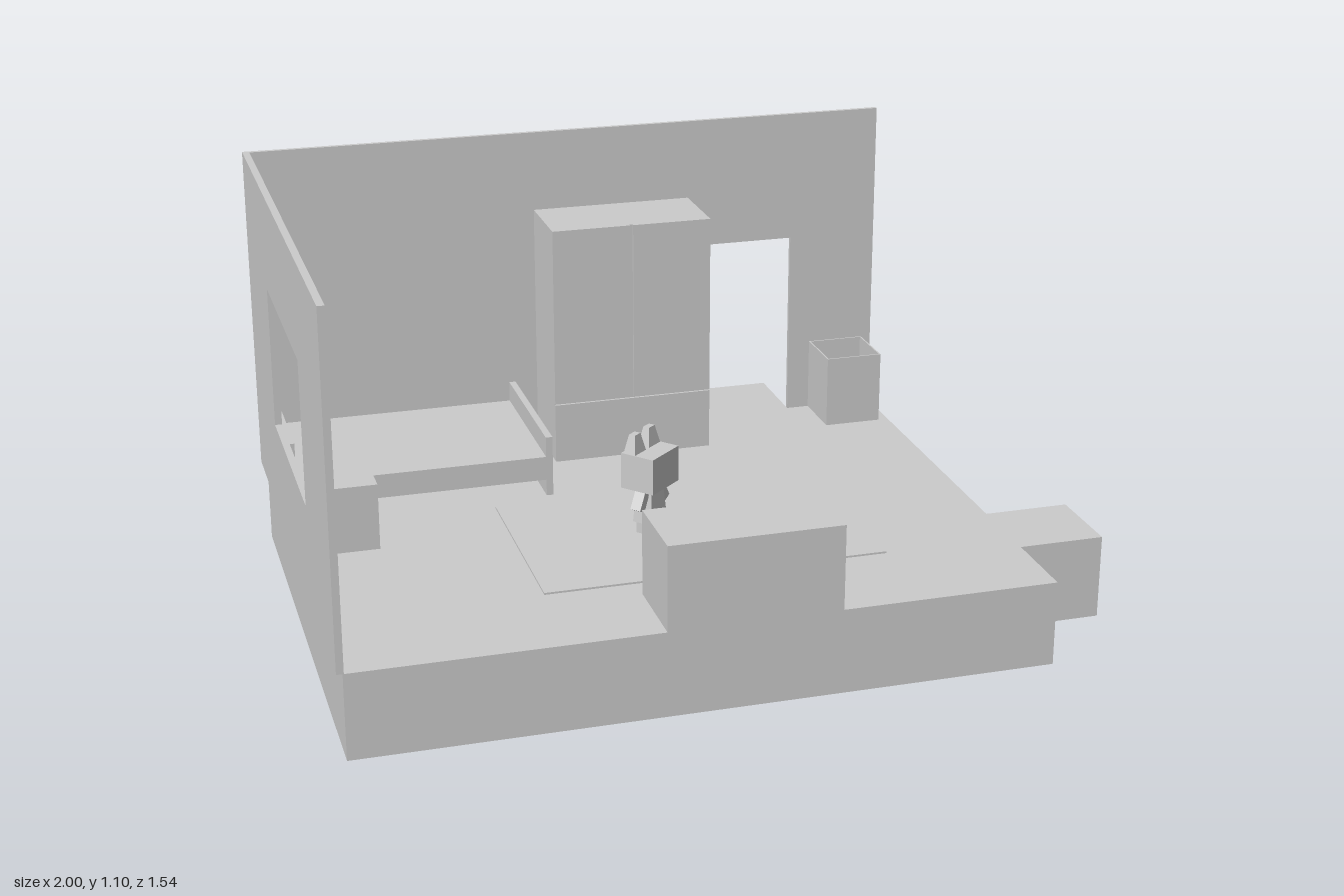
import * as THREE from 'three';

const material = new THREE.MeshStandardMaterial({ color: 0xcccccc, flatShading: true });

function add(parent, name, geometry) {
  const mesh = new THREE.Mesh(geometry, material);
  mesh.name = name;
  parent.add(mesh);
  return mesh;
}

// Box given by its extents along each axis
function box(parent, name, [x0, x1], [y0, y1], [z0, z1]) {
  const mesh = add(parent, name, new THREE.BoxGeometry(x1 - x0, y1 - y0, z1 - z0));
  mesh.position.set((x0 + x1) / 2, (y0 + y1) / 2, (z0 + z1) / 2);
  return mesh;
}

// Four-sided block whose top is scaled relative to its base; stands on y = 0
function taperedBlock(w, h, d, topX, topZ) {
  const g = new THREE.BoxGeometry(w, h, d).translate(0, h / 2, 0);
  const p = g.attributes.position;
  for (let i = 0; i < p.count; i++) {
    if (p.getY(i) > h / 2) p.setXYZ(i, p.getX(i) * topX, h, p.getZ(i) * topZ);
  }
  g.computeVertexNormals();
  return g;
}

function group(parent, name) {
  const g = new THREE.Group();
  g.name = name;
  parent.add(g);
  return g;
}

const points = (list) => list.map(([x, y]) => new THREE.Vector2(x, y));
const rect = (x0, x1, y0, y1) => points([[x0, y0], [x1, y0], [x1, y1], [x0, y1]]);
const extrude = (shape, depth) => new THREE.ExtrudeGeometry(shape, { depth, bevelEnabled: false });

const F = 0.222; // floor level

function buildRoom(room) {
  box(room, 'floorSlab', [-0.985, 0.775], [0, F], [-0.55, 0.77]);
  box(room, 'sideStep', [0.775, 1], [0, F], [0.33, 0.55]);
  box(room, 'backStep', [0.275, 0.525], [0, F], [-0.77, -0.55]);

  // Back wall with a doorway notch
  const back = new THREE.Shape(points([
    [-1, F], [0.275, F], [0.275, 0.74], [0.525, 0.74],
    [0.525, F], [0.775, F], [0.775, 1.1], [-1, 1.1],
  ]));
  add(room, 'backWall', extrude(back, 0.012)).position.z = -0.562;

  // Window wall, drawn in z and y
  const side = new THREE.Shape(rect(-0.55, 0.77, F, 1.1));
  side.holes.push(new THREE.Path(rect(-0.165, 0.385, 0.478, 0.845)));
  add(room, 'windowWall', extrude(side, 0.018).rotateY(-Math.PI / 2)).position.x = -0.982;
}

function buildFurniture(room) {
  const bed = group(room, 'bed');
  const bedZ = [-0.55, -0.11];
  box(bed, 'headboard', [-0.982, -0.96], [F, 0.443], bedZ);
  box(bed, 'footboard', [-0.3, -0.282], [F, 0.387], bedZ);
  box(bed, 'mattress', [-0.96, -0.3], [0.267, 0.332], bedZ);

  box(room, 'nightstand', [-0.96, -0.785], [F, 0.398], [-0.065, 0.11]);
  box(room, 'desk', [-0.22, 0.22], [F, 0.443], [0.55, 0.77]);
  box(room, 'rug', [-0.45, 0.435], [F, 0.227], [-0.06, 0.49]);

  // Wardrobe: carcass, two doors with a slit between them, and a drawer
  const wardrobe = group(room, 'wardrobe');
  box(wardrobe, 'carcass', [-0.22, 0.22], [F, 0.882], [-0.55, -0.34]);
  const front = [-0.34, -0.333];
  box(wardrobe, 'rightDoor', [-0.22, -0.006], [0.39, 0.882], front);
  box(wardrobe, 'leftDoor', [0.003, 0.22], [0.39, 0.882], front);
  box(wardrobe, 'drawer', [-0.22, 0.22], [F, 0.387], front);

  // Open bin
  const bin = group(room, 'bin');
  const rim = new THREE.Shape(rect(0.588, 0.747, 0.388, 0.55));
  rim.holes.push(new THREE.Path(rect(0.592, 0.743, 0.392, 0.546)));
  const walls = extrude(rim, 0.2).rotateX(-Math.PI / 2);
  add(bin, 'binWalls', walls).position.y = F;
  box(bin, 'binBottom', [0.592, 0.743], [F, F + 0.006], [-0.546, -0.392]);
}

function buildFigure(room) {
  const figure = group(room, 'figure');
  figure.position.set(-0.1, 0.225, 0.193);
  figure.rotation.y = 0.72;

  add(figure, 'head', new THREE.BoxGeometry(0.12, 0.095, 0.096)).position.y = 0.176;
  add(figure, 'body', taperedBlock(0.075, 0.1, 0.055, 0.7, 0.8)).position.y = 0.032;
  for (const s of [-1, 1]) {
    const label = s > 0 ? 'left' : 'right';
    const ear = add(figure, label + 'Ear', taperedBlock(0.052, 0.05, 0.035, 0.5, 0.5));
    ear.position.set(s * 0.033, 0.222, -0.024);
    const leg = add(figure, label + 'Leg', new THREE.BoxGeometry(0.027, 0.036, 0.04));
    leg.position.set(s * 0.02, 0.018, 0);
    const arm = add(figure, label + 'Arm', new THREE.BoxGeometry(0.022, 0.058, 0.03));
    arm.position.set(s * 0.045, 0.1, 0);
    arm.rotation.z = s * 0.5;
  }
}

export function createModel() {
  const room = new THREE.Group();
  room.name = 'bedroom';
  buildRoom(room);
  buildFurniture(room);
  buildFigure(room);
  return room;
}
